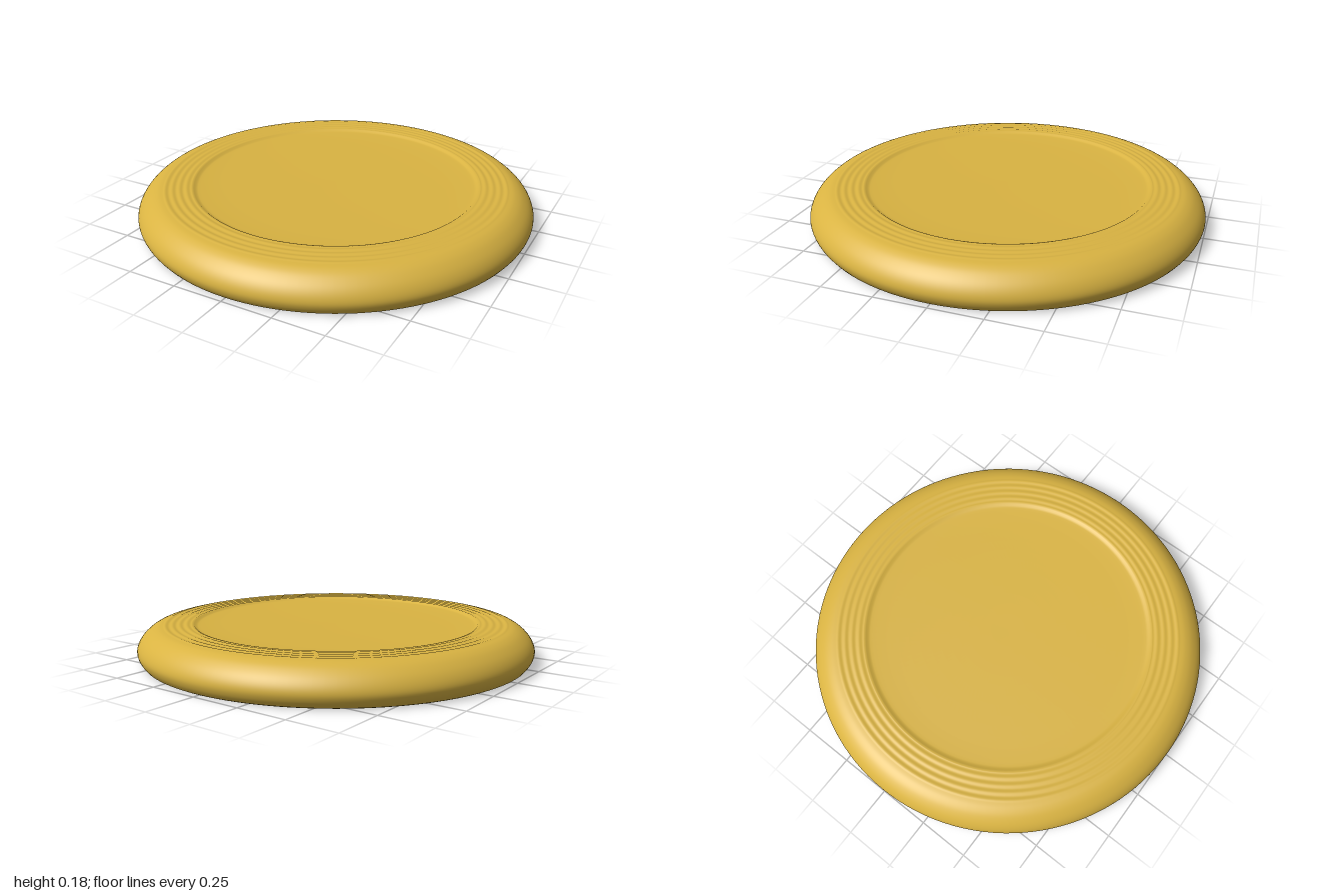
import * as THREE from 'three';

const v = (x, y) => new THREE.Vector2(x, y);
const smooth = (pts, n) => new THREE.SplineCurve(pts.map(p => v(...p))).getPoints(n);

export function createModel() {
  const group = new THREE.Group();
  group.name = 'flyingDisc';

  // Hollow underside: flat ceiling curving down the inner wall to the lip
  const underside = [v(0, 0.132), v(0.4, 0.135), v(0.7, 0.14),
    ...smooth([[0.79, 0.14], [0.84, 0.132], [0.89, 0.105], [0.92, 0.07], [0.928, 0.035], [0.92, 0.004]], 20)];

  // Bottom lip and rounded outer rim
  const rim = [v(0.93, 0), v(0.965, 0),
    ...smooth([[0.975, 0.005], [0.992, 0.03], [1, 0.06], [0.992, 0.092], [0.97, 0.125],
      [0.935, 0.155], [0.9, 0.172], [0.87, 0.178]], 32)];

  // Fine concentric grip ridges on the shoulder
  const ridges = [];
  for (let i = 1; i <= 32; i++) {
    const t = i / 32;
    ridges.push(v(0.87 - 0.14 * t, 0.1785 + 0.0015 * Math.sin(t * Math.PI * 8)));
  }

  // Slightly sunken, gently dished flight plate
  const plate = [v(0.72, 0.176), v(0.712, 0.169),
    ...smooth([[0.7, 0.167], [0.6, 0.162], [0.4, 0.158], [0.2, 0.156], [0, 0.155]], 16)];
  plate[plate.length - 1].x = 0;

  const disc = new THREE.Mesh(
    new THREE.LatheGeometry([...underside, ...rim, ...ridges, ...plate], 128),
    new THREE.MeshStandardMaterial({ color: 0xd9b342 }));
  disc.name = 'disc';
  group.add(disc);
  return group;
}
